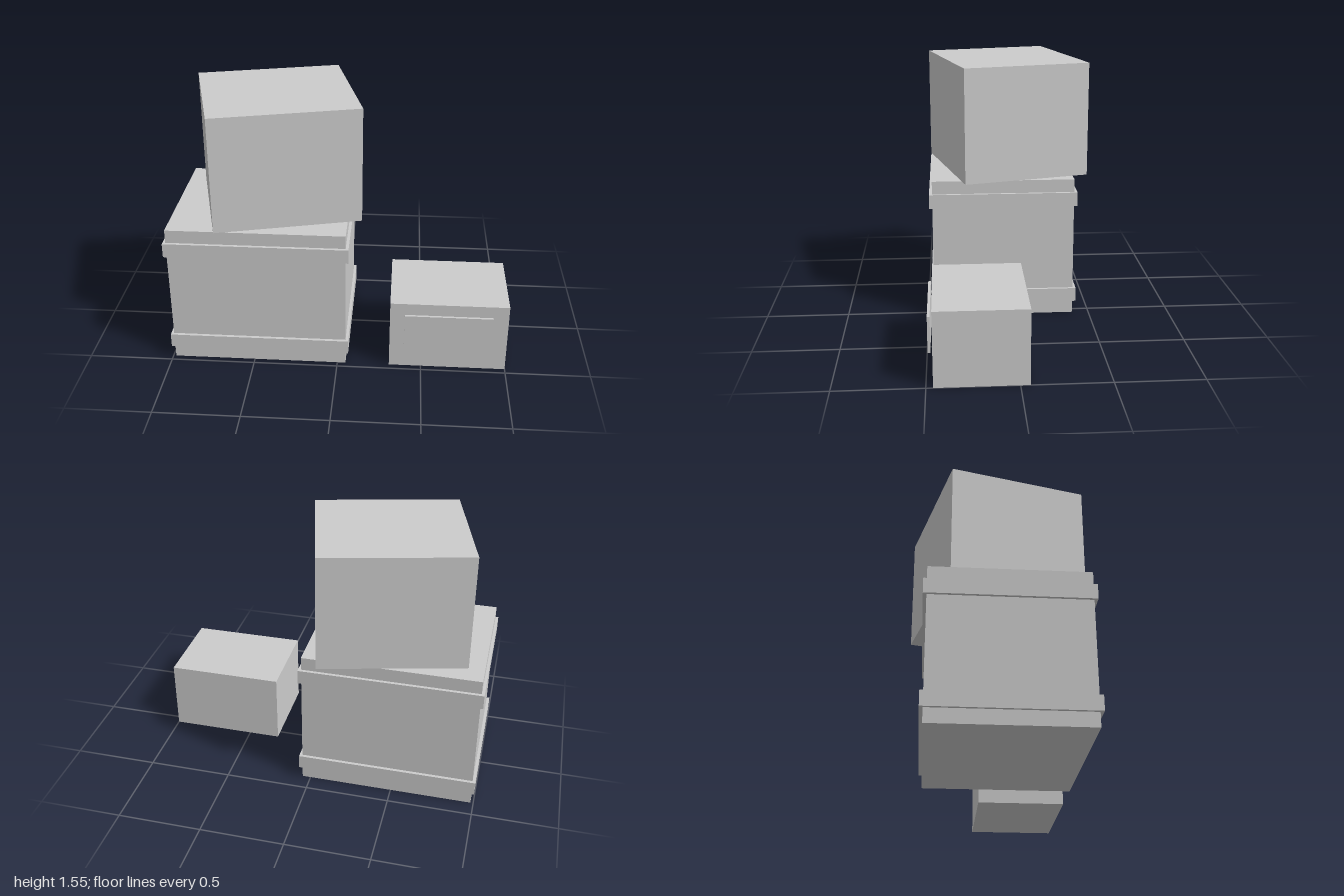
import * as THREE from 'three';

export function createModel() {
  const model = new THREE.Group();
  const grey = new THREE.MeshStandardMaterial({ color: 0xcccccc });
  grey.name = 'plain grey';

  // Box from its centre in x and z, its base height and its size
  function addBox(name, x, base, z, width, height, depth, turn = 0) {
    const mesh = new THREE.Mesh(new THREE.BoxGeometry(width, height, depth), grey);
    mesh.name = name;
    mesh.position.set(x, base + height / 2, z);
    mesh.rotation.y = turn;
    model.add(mesh);
  }

  // Large crate with two straps around it
  addBox('largeCrate', -0.467, 0, 0.032, 1.033, 0.864, 0.861);
  addBox('lowerStrap', -0.467, 0.081, 0.032, 1.066, 0.085, 0.898);
  addBox('upperStrap', -0.467, 0.7, 0.032, 1.066, 0.085, 0.898);

  // Crate stacked on top, turned a little
  addBox('stackedCrate', -0.38, 0.864, -0.007, 0.858, 0.689, 0.775, 0.25);

  // Small box on the ground with a plate standing off its front
  addBox('smallBox', 0.655, 0, 0.204, 0.69, 0.432, 0.516);
  addBox('frontPlate', 0.653, 0.16, 0.481, 0.515, 0.206, 0.015);

  return model;
}
